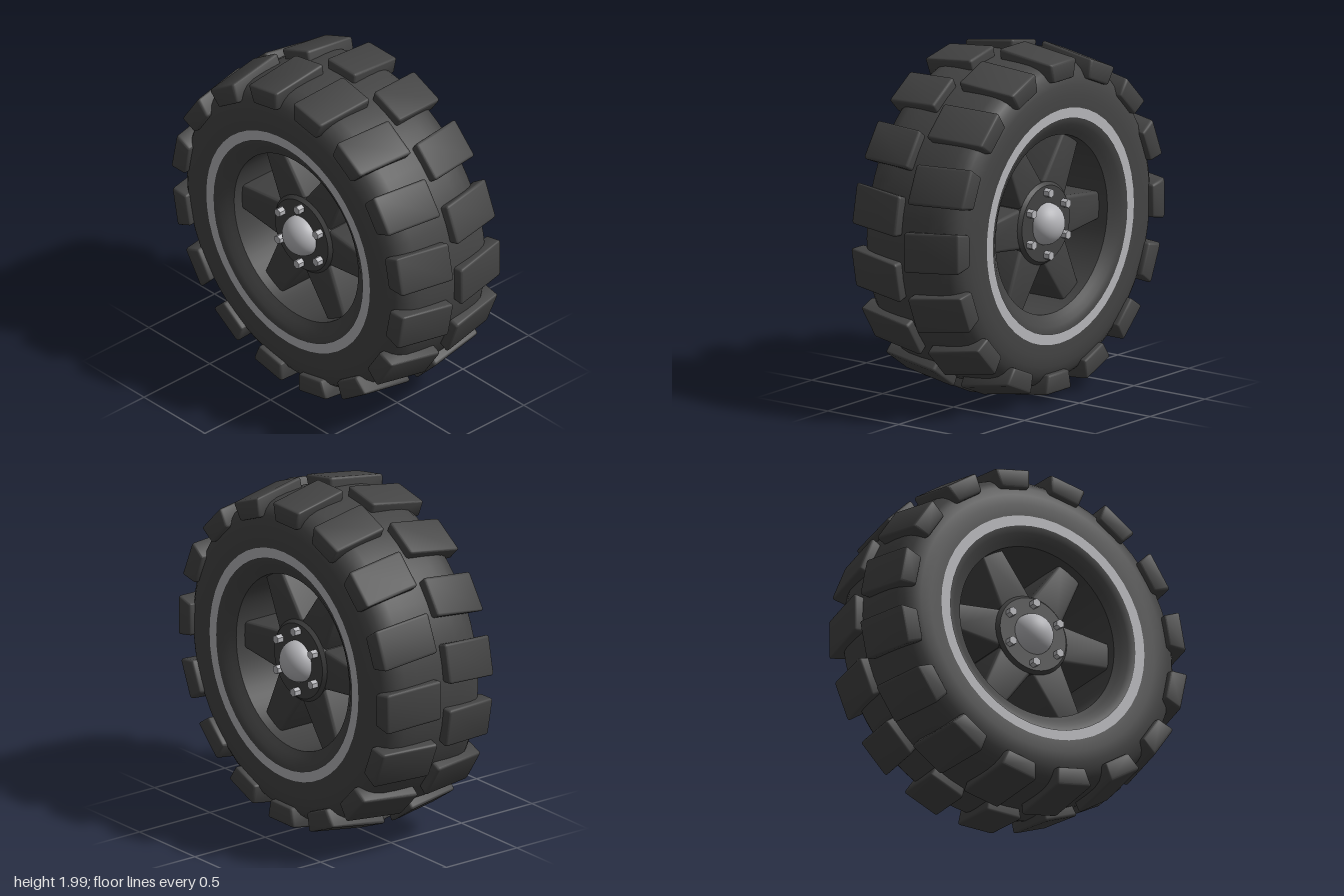
import * as THREE from 'three';
import { mergeVertices, toCreasedNormals } from 'three/addons/utils/BufferGeometryUtils.js';
import { RoundedBoxGeometry } from 'three/addons/geometries/RoundedBoxGeometry.js';

const rubber = new THREE.MeshStandardMaterial({ color: 0x444444 });
rubber.name = 'rubber';
const rimPaint = new THREE.MeshStandardMaterial({ color: 0x424242 });
rimPaint.name = 'dark rim paint';
const metal = new THREE.MeshStandardMaterial({ color: 0xb6b6ba });
metal.name = 'pale metal';

function add(parent, name, geometry, material) {
  const mesh = new THREE.Mesh(geometry, material);
  mesh.name = name;
  parent.add(mesh);
  return mesh;
}

// Revolves [radius, z] points around the z axis
function revolve(points, segments) {
  const profile = points.map(([r, z]) => new THREE.Vector2(r, z));
  return new THREE.LatheGeometry(profile, segments).rotateX(Math.PI / 2);
}

// Rounded box whose vertices are moved by a rule, with fresh normals
function warpedBox(w, h, d, radius, rule) {
  const box = new RoundedBoxGeometry(w, h, d, 2, radius);
  box.deleteAttribute('normal');
  box.deleteAttribute('uv');
  const geo = mergeVertices(box, 1e-4);
  const pos = geo.attributes.position;
  const v = new THREE.Vector3();
  for (let i = 0; i < pos.count; i++) {
    v.fromBufferAttribute(pos, i);
    rule(v);
    pos.setXYZ(i, v.x, v.y, v.z);
  }
  return toCreasedNormals(geo, 0.6);
}

// Tread block at the top of the tyre: sloped to the shoulder, slanted, narrower at its foot
function lugGeometry(side) {
  return warpedBox(0.236, 0.16, 0.35, 0.018, (v) => {
    const t = (v.y + 0.08) / 0.16;      // 0 foot, 1 tread face
    const u = (v.z * side + 0.175) / 0.35; // 0 middle of tyre, 1 shoulder
    v.x = v.x * (0.8 + 0.2 * t) - 0.028 * (u - 0.2);
    v.y = 0.835 + t * (0.163 - 0.053 * u);
    v.z += side * 0.202;
  });
}

export function createModel() {
  const wheel = new THREE.Group();
  wheel.name = 'wheel';
  const body = new THREE.Group();
  body.name = 'wheelBody';
  body.position.y = 1;
  wheel.add(body);

  // Tyre carcass, one half mirrored to the other
  const half = [
    [0.51, 0.305], [0.54, 0.325], [0.575, 0.348], [0.605, 0.36], [0.64, 0.362], [0.68, 0.363],
    [0.74, 0.364], [0.8, 0.357], [0.85, 0.34], [0.885, 0.315], [0.912, 0.28], [0.928, 0.23],
    [0.937, 0.15], [0.942, 0.05],
  ];
  const back = half.map(([r, z]) => [r, -z]);
  add(body, 'tyreCarcass', revolve([...back, ...half.slice().reverse()], 64), rubber);

  // Tread blocks, the rear row half a pitch out of step
  const count = 16;
  for (const side of [1, -1]) {
    const geo = lugGeometry(side);
    const row = new THREE.Group();
    row.name = side > 0 ? 'frontTread' : 'rearTread';
    for (let i = 0; i < count; i++) {
      const lug = add(row, 'treadBlock', geo, rubber);
      lug.rotation.z = ((i + (side > 0 ? 0.5 : 0)) * Math.PI * 2) / count;
    }
    body.add(row);
  }

  // Rim barrel, facing the axle
  add(body, 'rimBarrel', revolve([[0.51, 0.305], [0.51, -0.305]], 64), rimPaint);

  // Hub drum with a bevelled edge
  const hub = revolve([
    [0, -0.265], [0.218, -0.265], [0.236, -0.245], [0.236, 0.245], [0.218, 0.265], [0, 0.265],
  ], 48);
  add(body, 'hub', toCreasedNormals(hub, 0.5), rimPaint);

  // Spokes narrowing towards the rim
  const spokeGeo = warpedBox(0.4, 0.2, 0.49, 0.02, (v) => {
    v.x += 0.335;
    v.y *= 1.17 - (v.x - 0.2) * 1.2;
  });
  for (let i = 0; i < 6; i++) {
    add(body, 'spoke', spokeGeo, rimPaint).rotation.z = (i * Math.PI) / 3;
  }

  // Sidewall band, hub cap and bolts on both faces
  const bandGeo = new THREE.RingGeometry(0.612, 0.672, 48);
  const capGeo = new THREE.SphereGeometry(1, 32, 20);
  const boltGeo = new THREE.CylinderGeometry(0.026, 0.026, 0.06, 6).rotateX(Math.PI / 2).toNonIndexed();
  boltGeo.computeVertexNormals();
  for (const side of [1, -1]) {
    const face = new THREE.Group();
    face.name = side > 0 ? 'frontFace' : 'rearFace';
    face.rotation.y = side > 0 ? 0 : Math.PI;
    add(face, 'sidewallBand', bandGeo, metal).position.z = 0.367;
    const cap = add(face, 'hubCap', capGeo, metal);
    cap.scale.set(0.12, 0.12, 0.1);
    cap.position.z = 0.265;
    for (let i = 0; i < 6; i++) {
      const a = Math.PI / 6 + (i * Math.PI) / 3;
      add(face, 'bolt', boltGeo, metal).position.set(0.18 * Math.cos(a), 0.18 * Math.sin(a), 0.275);
    }
    body.add(face);
  }
  return wheel;
}
